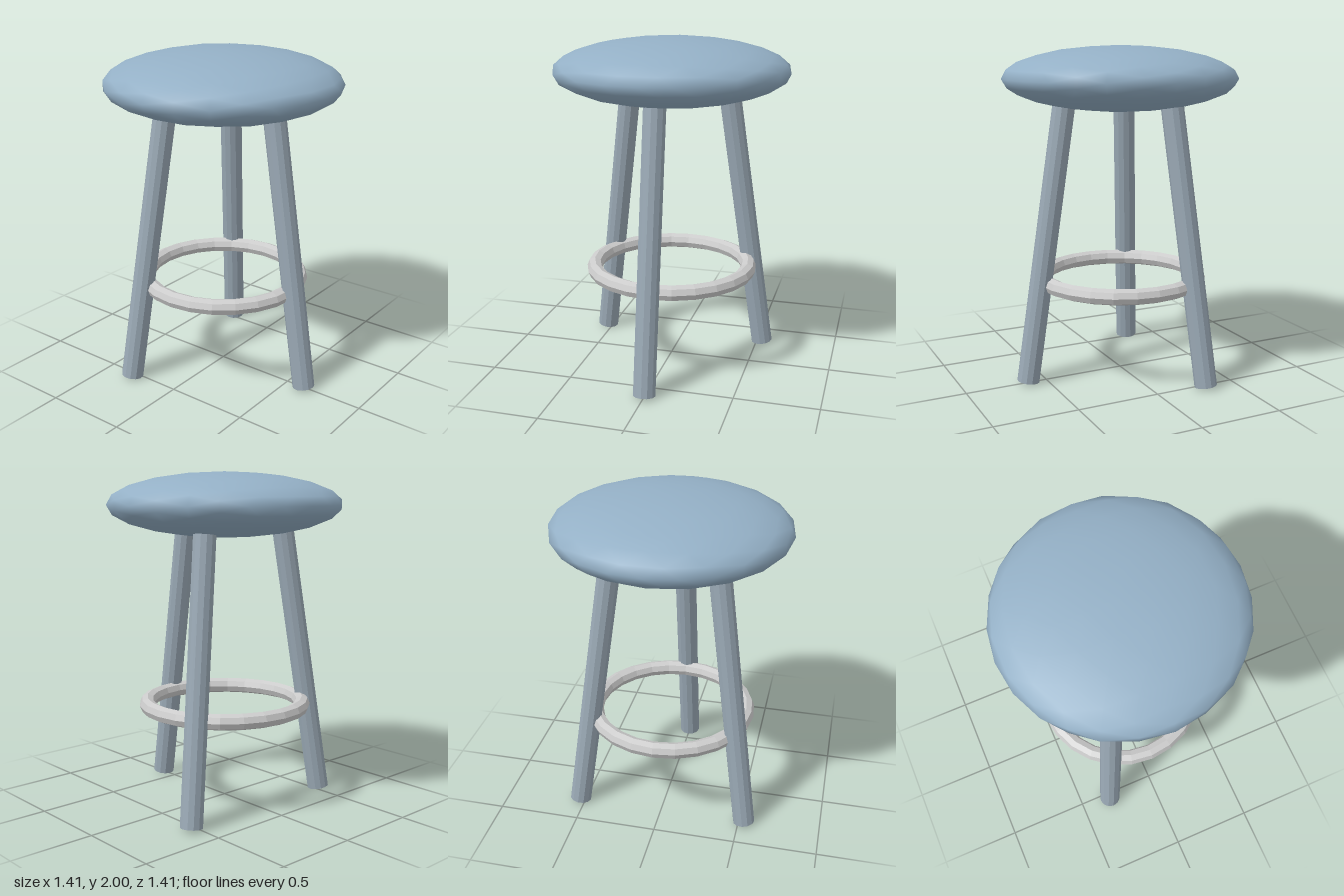
import * as THREE from 'three';
import { mergeVertices } from 'three/addons/utils/BufferGeometryUtils.js';

// Unit icosphere: each triangle is split at its edge midpoints, pushed out to the sphere
function icosphere(levels) {
  let points = [];
  const base = new THREE.IcosahedronGeometry(1, 0).getAttribute('position');
  for (let i = 0; i < base.count; i++) points.push(new THREE.Vector3().fromBufferAttribute(base, i));
  const mid = (a, b) => a.clone().add(b).normalize();
  for (let level = 0; level < levels; level++) {
    const next = [];
    for (let i = 0; i < points.length; i += 3) {
      const [a, b, c] = points.slice(i, i + 3);
      const ab = mid(a, b), bc = mid(b, c), ca = mid(c, a);
      next.push(a, ab, ca, ab, b, bc, ca, bc, c, ab, bc, ca);
    }
    points = next;
  }
  return mergeVertices(new THREE.BufferGeometry().setFromPoints(points), 1e-4);
}

export function createModel() {
  const stool = new THREE.Group();
  stool.name = 'stool';
  const cushionMaterial = new THREE.MeshStandardMaterial({ color: 0x94b0c6 });
  const legMaterial = new THREE.MeshStandardMaterial({ color: 0x9aa9b5, flatShading: true });
  const ringMaterial = new THREE.MeshStandardMaterial({ color: 0xcccccc, flatShading: true });

  // Cushioned seat: a flattened smooth sphere
  const seatGeometry = icosphere(2);
  seatGeometry.scale(0.703, 0.194, 0.703);
  seatGeometry.computeVertexNormals();
  const seat = new THREE.Mesh(seatGeometry, cushionMaterial);
  seat.name = 'seat';
  seat.position.y = 1.806;
  stool.add(seat);

  // Three splayed legs, their tops sunk into the seat
  const foot = new THREE.Vector3(0.615, 0.01, 0);
  const top = new THREE.Vector3(0.353, 1.72, 0);
  const axis = top.clone().sub(foot);
  const legGeometry = new THREE.CylinderGeometry(0.067, 0.067, axis.length(), 12);
  legGeometry.applyQuaternion(
    new THREE.Quaternion().setFromUnitVectors(new THREE.Vector3(0, 1, 0), axis.clone().normalize()));
  const centre = foot.clone().add(top).multiplyScalar(0.5);
  legGeometry.translate(centre.x, centre.y, centre.z);
  ['leftLeg', 'backRightLeg', 'frontRightLeg'].forEach((name, i) => {
    const leg = new THREE.Mesh(legGeometry, legMaterial);
    leg.name = name;
    leg.rotation.y = (i * Math.PI * 2) / 3;
    stool.add(leg);
  });

  // Foot ring
  const footRing = new THREE.Mesh(new THREE.TorusGeometry(0.477, 0.048, 8, 24), ringMaterial);
  footRing.name = 'footRing';
  footRing.rotation.x = Math.PI / 2;
  footRing.position.y = 0.595;
  stool.add(footRing);

  return stool;
}
